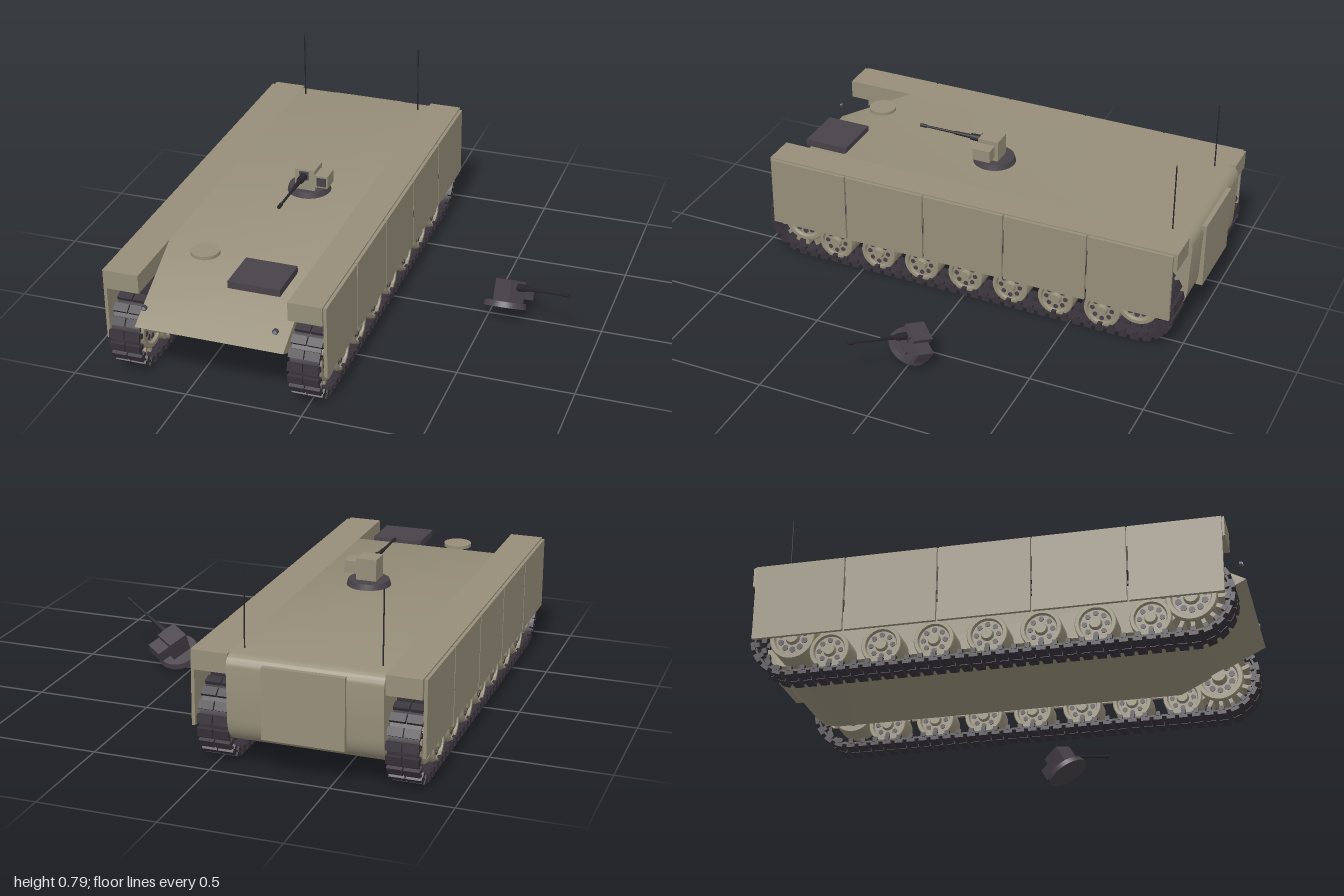
import * as THREE from 'three';
import { mergeGeometries, toCreasedNormals } from 'three/addons/utils/BufferGeometryUtils.js';

const mat = (name, color) => Object.assign(new THREE.MeshStandardMaterial({ color }), { name });
const paint = mat('khaki paint', 0x968e79);
const dark = mat('dark fittings', 0x484149);
const rubber = mat('track metal', 0x38333a);
const black = mat('gun metal', 0x29262b);
const lens = mat('lamp glass', 0x7f8798);

const CX = -0.39; // vehicle centreline

function add(parent, name, geo, material, x = 0, y = 0, z = 0) {
  const m = new THREE.Mesh(geo, material);
  m.name = name;
  m.position.set(x, y, z);
  parent.add(m);
  return m;
}
// box given by its limits on each axis
function box(parent, name, material, [x0, x1], [y0, y1], [z0, z1]) {
  return add(parent, name, new THREE.BoxGeometry(Math.abs(x1 - x0), y1 - y0, z1 - z0), material,
    (x0 + x1) / 2, (y0 + y1) / 2, (z0 + z1) / 2);
}
// side profile (z, y) extruded across x, centred on x = 0
function across(shape, width, segments = 12) {
  const g = new THREE.ExtrudeGeometry(shape, { depth: width, bevelEnabled: false, curveSegments: segments });
  return toCreasedNormals(g.translate(0, 0, -width / 2).rotateY(-Math.PI / 2), 0.6);
}
// cylinder lying along z
const rodZ = (r0, r1, len, n = 16) => new THREE.CylinderGeometry(r1, r0, len, n).rotateX(Math.PI / 2);

function makeHull() {
  const s = new THREE.Shape();
  s.moveTo(1.0, 0.28);
  s.lineTo(0.63, 0.485);
  s.lineTo(-0.93, 0.485);
  s.quadraticCurveTo(-0.985, 0.482, -0.988, 0.43);
  s.lineTo(-0.98, 0.22);
  s.quadraticCurveTo(-0.975, 0.105, -0.85, 0.1);
  s.lineTo(0.64, 0.1);
  s.closePath();
  return across(s, 0.64);
}

// weapon station, origin at the centre of its ring, gun towards +z
function makeTurret(name, body) {
  const g = new THREE.Group();
  g.name = name;
  add(g, 'turretRing', new THREE.CylinderGeometry(0.088, 0.095, 0.025, 32), dark, 0, 0.0125, 0);
  box(g, 'gunHousing', body, [-0.043, 0.047], [0.025, 0.12], [-0.035, 0.06]);
  box(g, 'sightBox', body, [0.047, 0.105], [0.045, 0.1], [-0.02, 0.06]);
  box(g, 'sightWindow', dark, [0.057, 0.099], [0.053, 0.092], [0.06, 0.064]);
  box(g, 'gunMantlet', dark, [-0.02, 0.02], [0.075, 0.113], [0.06, 0.068]);
  const gun = [['gunSleeve', 0.017, 0.015, 0.06, 0.115], ['barrelJacket', 0.01, 0.008, 0.115, 0.195],
    ['barrel', 0.006, 0.005, 0.195, 0.36], ['muzzle', 0.008, 0.008, 0.335, 0.364]];
  for (const [n, r0, r1, z0, z1] of gun) add(g, n, rodZ(r0, r1, z1 - z0), black, 0, 0.094, (z0 + z1) / 2);
  return g;
}

// track loop: two half circles joined by straight runs
const TZ = 0.8, TY = 0.17, TR = 0.155;
function trackPoint(t) {
  const run = 2 * TZ, arc = Math.PI * TR;
  let s = t * 2 * (run + arc);
  const flip = s >= run + arc ? -1 : 1;
  if (flip < 0) s -= run + arc;
  const a = s < run ? 0 : (s - run) / TR;
  const along = s < run ? s - TZ : TZ;
  return { z: flip * along, a: a + (flip < 0 ? Math.PI : 0) };
}
function stadium(r, target) {
  target.absarc(TZ, TY, r, -Math.PI / 2, Math.PI / 2, false);
  target.absarc(-TZ, TY, r, Math.PI / 2, Math.PI * 1.5, false);
  target.closePath();
  return target;
}
function makeTrackLinks() {
  const parts = [], count = 78;
  const link = [
    [0.064, 0.016, 0.036, -0.0345, 0.162], [0.064, 0.016, 0.036, 0.0345, 0.162],
    [0.018, 0.02, 0.02, -0.058, 0.143], [0.018, 0.02, 0.02, 0.058, 0.143], [0.014, 0.024, 0.024, 0, 0.138],
  ];
  for (let i = 0; i < count; i++) {
    const p = trackPoint(i / count);
    for (const [w, h, d, x, r] of link) {
      parts.push(new THREE.BoxGeometry(w, h, d).translate(x, -r, 0).rotateX(-p.a).translate(0, TY, p.z));
    }
  }
  return mergeGeometries(parts);
}

// wheel around the x axis: dished disc, hub and a ring of dark recesses on both faces
function makeWheel(name, r, w, holes) {
  const g = new THREE.Group();
  g.name = name;
  const h = w / 2;
  const half = [[0, h + 0.004], [r * 0.26, h + 0.004], [r * 0.32, h - 0.012], [r * 0.74, h - 0.012],
    [r * 0.8, h], [r * 0.96, h], [r, h - 0.004]];
  const pts = [...half.map(([a, b]) => [a, -b]), ...half.reverse()].map(([a, b]) => new THREE.Vector2(a, b));
  const disc = toCreasedNormals(new THREE.LatheGeometry(pts, 32), 0.5).rotateZ(-Math.PI / 2);
  add(g, 'wheelDisc', disc, paint);
  const spots = [];
  for (const side of [-1, 1]) for (let i = 0; i < holes; i++) {
    const a = (i / holes) * Math.PI * 2;
    spots.push(new THREE.CylinderGeometry(r * 0.13, r * 0.13, 0.004, 10).rotateZ(Math.PI / 2)
      .translate(side * (h - 0.011), Math.cos(a) * r * 0.54, Math.sin(a) * r * 0.54));
  }
  add(g, 'wheelHoles', mergeGeometries(spots), dark);
  return g;
}

function makeSide(side) {
  const g = new THREE.Group();
  g.name = side > 0 ? 'leftSide' : 'rightSide';
  const X = 0.3875 * side;
  box(g, 'sponson', paint, [0.32 * side, 0.465 * side], [0.402, 0.485], [-0.972, 0.942]);

  // skirt panels with hinges between them
  const seams = [-0.96, -0.578, -0.195, 0.185, 0.563, 0.937];
  for (let i = 0; i < 5; i++) {
    box(g, 'skirtPanel', paint, [0.466 * side, 0.48 * side], [0.16, 0.48], [seams[i] + 0.004, seams[i + 1] - 0.004]);
    if (i) box(g, 'skirtHinge', dark, [0.462 * side, 0.478 * side], [0.29, 0.33], [seams[i] - 0.004, seams[i] + 0.004]);
  }

  // track
  const band = stadium(0.156, new THREE.Shape());
  band.holes.push(stadium(0.147, new THREE.Path()));
  add(g, 'trackBand', across(band, 0.125, 20), rubber, X);
  add(g, 'trackLinks', makeTrackLinks(), rubber, X);

  // running gear
  for (let i = -3; i <= 3; i++) {
    const wheel = makeWheel('roadWheel', 0.082, 0.11, 8);
    wheel.position.set(X, 0.097, i * 0.214);
    g.add(wheel);
  }
  for (const [name, z, r] of [['driveSprocket', TZ, 0.1], ['idlerWheel', -TZ, 0.095]]) {
    const wheel = makeWheel(name, r, 0.11, 10);
    wheel.position.set(X, TY, z);
    g.add(wheel);
  }
  const teeth = [];
  for (let i = 0; i < 16; i++) {
    teeth.push(new THREE.BoxGeometry(0.07, 0.045, 0.016).translate(0, 0.112, 0).rotateX(i * Math.PI / 8));
  }
  add(g, 'sprocketTeeth', mergeGeometries(teeth), paint, X, TY, TZ);
  for (const z of [-TZ, TZ]) {
    add(g, 'axle', new THREE.CylinderGeometry(0.03, 0.03, 0.06, 16).rotateZ(Math.PI / 2), paint, 0.33 * side, TY, z);
  }

  // headlamp and aerial
  add(g, 'headlampRim', rodZ(0.012, 0.012, 0.012), dark, 0.282 * side, 0.365, 0.978);
  add(g, 'headlampLens', rodZ(0.008, 0.008, 0.004), lens, 0.282 * side, 0.365, 0.985);
  add(g, 'aerial', new THREE.CylinderGeometry(0.003, 0.003, 0.31, 8), black, 0.282 * side, 0.637, -0.885);
  return g;
}

export function createModel() {
  const model = new THREE.Group();
  model.name = 'trackedVehicle';
  const vehicle = new THREE.Group();
  vehicle.name = 'vehicle';
  vehicle.position.x = CX;
  model.add(vehicle);

  add(vehicle, 'hull', makeHull(), paint);
  box(vehicle, 'rearDoor', paint, [-0.17, 0.17], [0.16, 0.46], [-1.0, -0.97]);
  add(vehicle, 'roundHatch', new THREE.CylinderGeometry(0.061, 0.061, 0.015, 32), paint, -0.135, 0.4925, 0.683);
  box(vehicle, 'engineHatch', dark, [0.038, 0.262], [0.457, 0.488], [0.67, 0.87]);
  vehicle.add(makeSide(1), makeSide(-1));

  const turret = makeTurret('weaponStation', paint);
  turret.position.set(0.073, 0.485, 0.022);
  vehicle.add(turret);

  // spare weapon station lying beside the vehicle
  const spare = makeTurret('spareWeaponStation', dark);
  const forward = new THREE.Vector3(0.836, 0.286, 0.469).normalize();
  const left = new THREE.Vector3(-0.015, 0.866, -0.5).cross(forward).normalize();
  const up = forward.clone().cross(left);
  spare.setRotationFromMatrix(new THREE.Matrix4().makeBasis(left, up, forward));
  spare.position.set(0.575, 0.052, 0.02);
  model.add(spare);
  return model;
}
